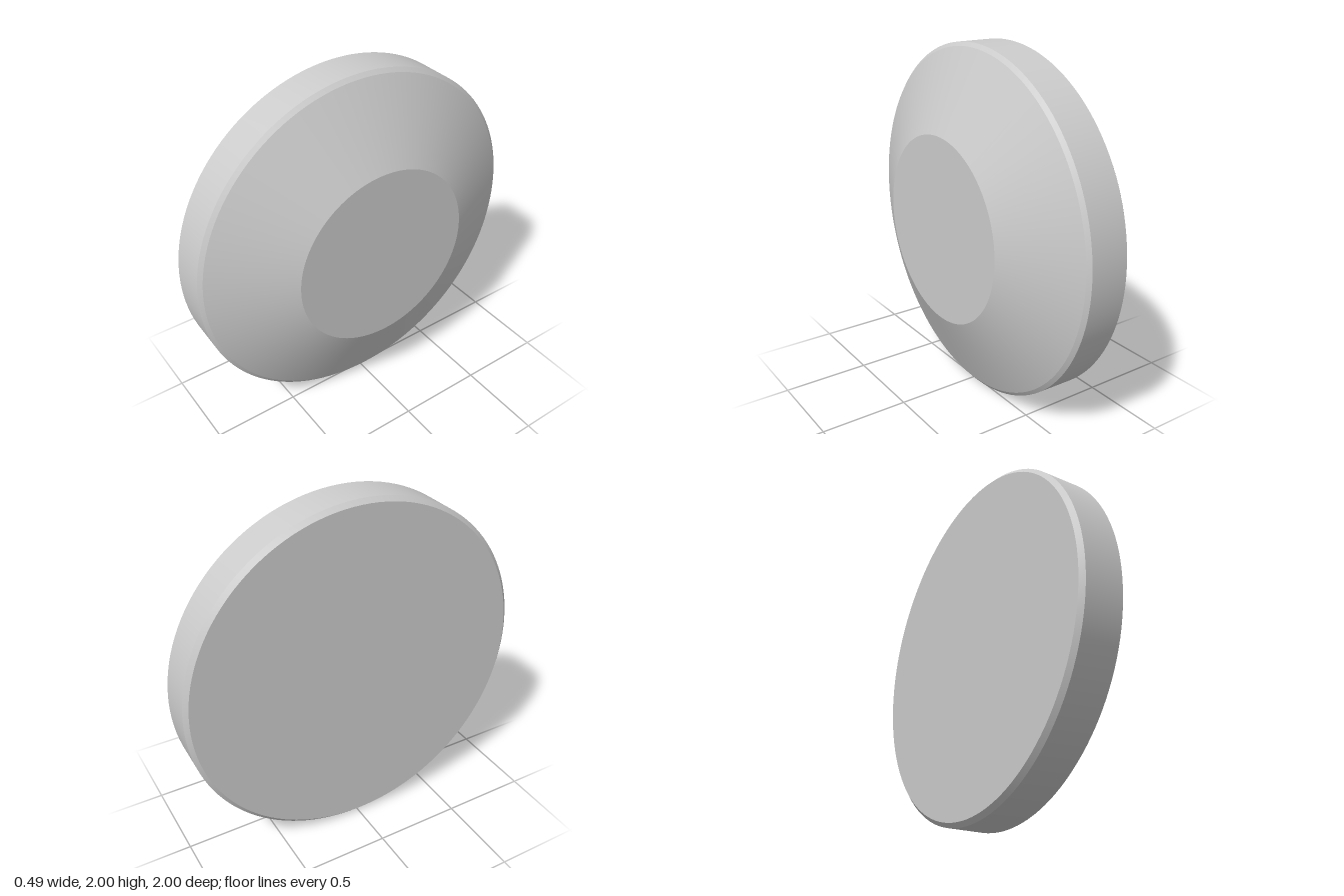
import * as THREE from 'three';
import { toCreasedNormals } from 'three/addons/utils/BufferGeometryUtils.js';

export function createModel() {
  const group = new THREE.Group();
  group.name = 'bevelledDisc';

  // Half section as [radius, distance along the axis]
  const profile = [
    [0, -0.23],      // flat back
    [0.975, -0.23],  // back chamfer
    [1, -0.207],     // rim
    [1, 0.011],
    [0.978, 0.03],   // front chamfer
    [0.53, 0.237],   // cone up to the flat face
    [0, 0.237],
  ].map(([r, h]) => new THREE.Vector2(r, h));

  const geometry = toCreasedNormals(new THREE.LatheGeometry(profile, 128), 0.15);
  geometry.rotateZ(-Math.PI / 2); // axis points along +x

  const disc = new THREE.Mesh(geometry, new THREE.MeshStandardMaterial({ color: 0xcccccc }));
  disc.name = 'disc';
  disc.position.y = 1;
  disc.rotation.y = -0.0175; // slight turn towards the front
  group.add(disc);
  return group;
}
